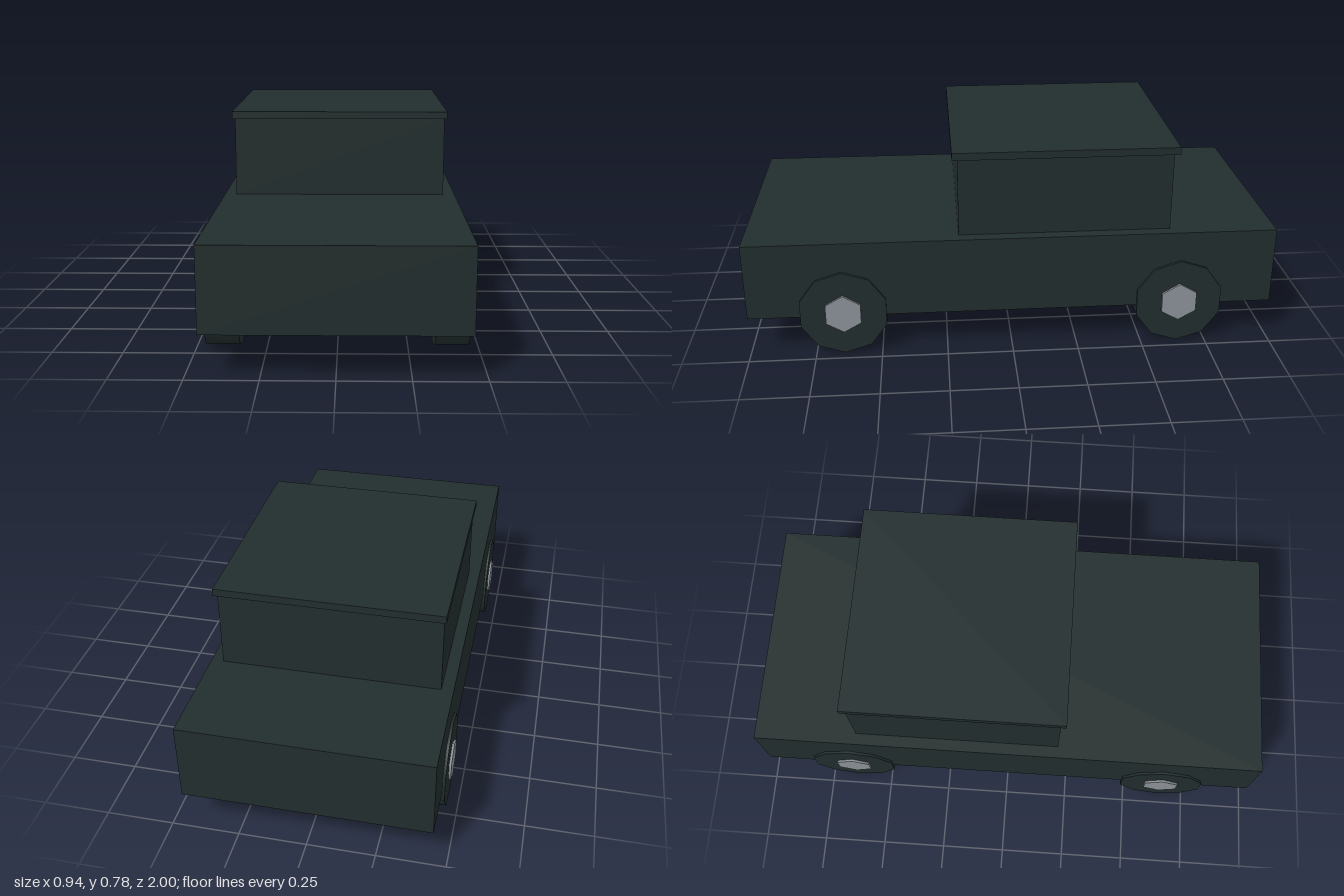
import * as THREE from 'three';

export function createModel() {
  const car = new THREE.Group();
  car.name = 'car';

  const darkPaint = new THREE.MeshStandardMaterial({ color: 0x222d2d });
  darkPaint.name = 'dark paint';
  const hubMetal = new THREE.MeshStandardMaterial({ color: 0x8c9299 });
  hubMetal.name = 'hub metal';

  // Box given by its size, base height and centre along z
  function box(name, width, height, depth, base, z) {
    const mesh = new THREE.Mesh(new THREE.BoxGeometry(width, height, depth), darkPaint);
    mesh.name = name;
    mesh.position.set(0, base + height / 2, z);
    car.add(mesh);
  }
  box('body', 0.9, 0.3, 2, 0.155, 0);
  box('cabin', 0.81, 0.3, 0.8, 0.455, -0.2);
  box('roof', 0.828, 0.028, 0.84, 0.755, -0.2);

  // Cylinder lying along x, with a corner pointing straight up
  function disc(name, radius, width, sides, material) {
    const geometry = new THREE.CylinderGeometry(radius, radius, width, sides, 1, false, Math.PI / 2);
    geometry.rotateZ(Math.PI / 2);
    const mesh = new THREE.Mesh(geometry, material);
    mesh.name = name;
    return mesh;
  }

  // Four wheels, each a tyre with a hub showing on both faces
  for (const [sideName, side] of [['Left', 1], ['Right', -1]]) {
    for (const [endName, end] of [['front', 1], ['back', -1]]) {
      const wheel = new THREE.Group();
      wheel.name = `${endName}${sideName}Wheel`;
      wheel.add(
        disc('tyre', 0.17, 0.12, 10, darkPaint),
        disc('hub', 0.076, 0.138, 6, hubMetal)
      );
      wheel.position.set(side * 0.4, 0.17, end * 0.64);
      car.add(wheel);
    }
  }

  return car;
}
